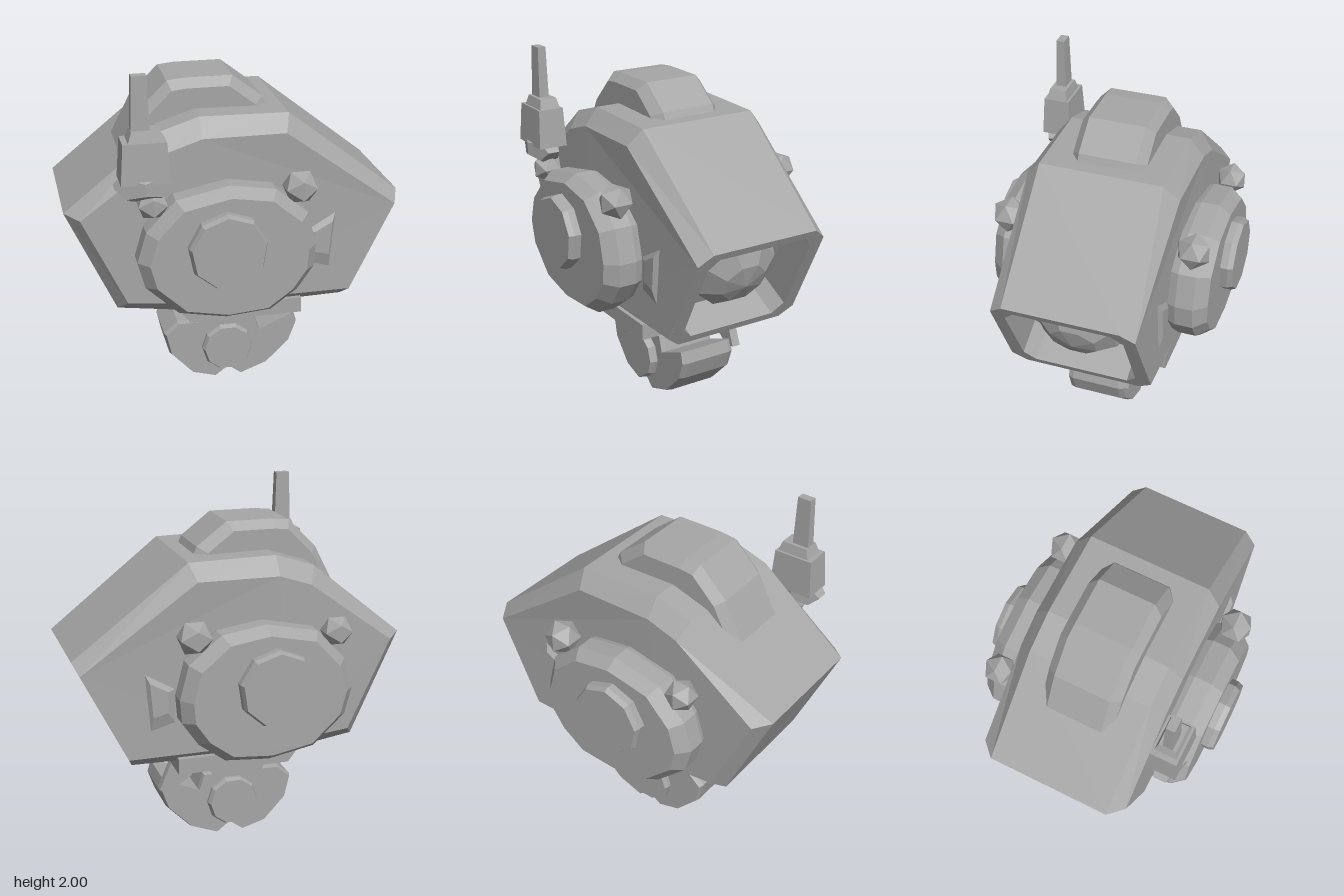
import * as THREE from 'three';

const metal = new THREE.MeshStandardMaterial({ color: 0xa6a6a6, flatShading: true, side: THREE.DoubleSide });
metal.name = 'grey metal';

// Joins rings of [x, y, z] (counter-clockwise, ascending z); openEdge is left unfilled.
function loft(rings, { caps = true, openEdge = -1 } = {}) {
  const n = rings[0].length, index = [];
  for (let r = 0; r < rings.length - 1; r++) {
    for (let i = 0; i < n; i++) {
      if (i === openEdge) continue;
      const a = r * n + i, b = r * n + (i + 1) % n;
      index.push(a, b, b + n, a, b + n, a + n);
    }
  }
  if (caps) {
    const last = (rings.length - 1) * n;
    const flat = (ring) => ring.map(([x, y]) => new THREE.Vector2(x, y));
    for (const [a, b, c] of THREE.ShapeUtils.triangulateShape(flat(rings[0]), [])) index.push(a, c, b);
    for (const [a, b, c] of THREE.ShapeUtils.triangulateShape(flat(rings[rings.length - 1]), [])) {
      index.push(last + a, last + b, last + c);
    }
  }
  const g = new THREE.BufferGeometry();
  g.setAttribute('position', new THREE.Float32BufferAttribute(rings.flat(2), 3));
  g.setIndex(index);
  const out = g.toNonIndexed();
  out.computeVertexNormals();
  return out;
}

// Bevelled slab: outline scaled about a centre at each [z, scale] layer; side -1 mirrors it in z.
function slab(outline, [cx, cy], layers, side = 1) {
  const order = side > 0 ? layers : [...layers].reverse();
  return loft(order.map(([z, s]) => outline.map(([x, y]) => [cx + (x - cx) * s, cy + (y - cy) * s, z * side])));
}

function disc(cx, cy, r, n, turn = 0) {
  return Array.from({ length: n }, (_, i) => {
    const a = turn + i / n * Math.PI * 2;
    return [cx + r * Math.cos(a), cy + r * Math.sin(a)];
  });
}

// Four-sided block narrowing from bottom size to top size.
function taperedBox(w, h, d, top) {
  const g = new THREE.CylinderGeometry(Math.SQRT1_2 * top, Math.SQRT1_2, 1, 4).rotateY(Math.PI / 4);
  return g.scale(w, h, d);
}

export function createModel() {
  const model = new THREE.Group();
  model.name = 'robotHead';
  const add = (name, geometry, x = 0, y = 0, z = 0, parent = model) => {
    const m = new THREE.Mesh(geometry, metal);
    m.name = name;
    m.position.set(x, y, z);
    parent.add(m);
    return m;
  };

  // Head shell, open at the slanted eye face and narrowing slightly towards it
  const rim = [[0.93, 1.19], [0.29, 1.69], [-0.2, 1.7], [-0.42, 1.63], [-0.94, 1.21], [-0.67, 0.62], [-0.27, 0.56], [0.62, 0.57]];
  const panel = [[0.9, 1.13], [0.26, 1.6], [-0.2, 1.6], [-0.38, 1.54], [-0.86, 1.19], [-0.62, 0.68], [-0.25, 0.64], [0.65, 0.63]];
  const taper = (x) => 1 - 0.07 * THREE.MathUtils.clamp((x - 0.25) / 0.68, 0, 1);
  const layer = (pts, z) => pts.map(([x, y]) => [x, y, z * taper(x)]);
  add('headShell', loft([layer(panel, -0.43), layer(rim, -0.35), layer(rim, 0.35), layer(panel, 0.43)], { openEdge: 7 }));

  // Eye face: frame, recess walls, back plate and faceted lens
  const eye = new THREE.Group();
  eye.name = 'eye';
  eye.applyMatrix4(new THREE.Matrix4().makeBasis(
    new THREE.Vector3(0, 0, -1), new THREE.Vector3(0.447, 0.894, 0), new THREE.Vector3(0.894, -0.447, 0),
  ).setPosition(0.775, 0.88, 0));
  model.add(eye);
  const mirrored = (pts) => [...pts, ...pts.map(([x, y]) => [-x, y]).reverse()];
  const toVectors = (pts) => pts.map(([x, y]) => new THREE.Vector2(x, y));
  const hole = mirrored([[0.27, -0.3], [0.33, -0.23], [0.33, 0.23], [0.27, 0.3]]);
  const frame = new THREE.Shape(toVectors(mirrored([[0.337, -0.347], [0.412, -0.28], [0.401, 0.28], [0.325, 0.347]])));
  frame.holes.push(new THREE.Path(toVectors(hole)));
  add('eyeFrame', new THREE.ShapeGeometry(frame), 0, 0, 0, eye);
  const inward = [...hole].reverse();
  add('eyeRecess', loft([-0.2, 0].map((z) => inward.map(([x, y]) => [x, y, z])), { caps: false }), 0, 0, 0, eye);
  add('eyeBackPlate', new THREE.ShapeGeometry(new THREE.Shape(toVectors(hole))), 0, 0, -0.2, eye);
  const lens = new THREE.SphereGeometry(0.27, 8, 3, Math.PI / 8, Math.PI * 2, 0, Math.PI / 2);
  add('eyeLens', lens.rotateX(Math.PI / 2).scale(1, 1, 0.7), 0, 0, -0.2, eye);

  // Crest on top
  add('crest', slab(
    [[0.25, 1.6], [0.19, 1.73], [0.02, 1.86], [-0.25, 1.86], [-0.34, 1.85], [-0.5, 1.69], [-0.63, 1.44]],
    [-0.2, 1.5], [[-0.21, 0.87], [-0.16, 1], [0.16, 1], [0.21, 0.87]]));

  // Ear discs, hubs, knobs, cheek wedges and lower rails on both sides
  const ear = [[0.4, 1], [0.35, 1.19], [0.17, 1.34], [-0.08, 1.38], [-0.37, 1.32], [-0.53, 1.15], [-0.58, 0.98],
    [-0.54, 0.83], [-0.36, 0.66], [-0.1, 0.61], [0.15, 0.63], [0.3, 0.74], [0.39, 0.87]];
  for (const side of [1, -1]) {
    add('earDisc', slab(ear, [-0.09, 0.99], [[0.41, 0.96], [0.46, 1], [0.56, 1], [0.63, 0.88]], side));
    add('earHub', slab(disc(-0.11, 1.05, 0.215, 9, 0.2), [-0.11, 1.05], [[0.6, 1], [0.67, 1], [0.7, 0.94]], side));
    add('frontKnob', new THREE.IcosahedronGeometry(0.1, 0), 0.31, 1.33, 0.53 * side);
    add('rearKnob', new THREE.IcosahedronGeometry(0.09, 0), -0.49, 1.3, 0.53 * side);
    add('cheekWedge', slab([[0.56, 1.13], [0.36, 1.02], [0.36, 0.78], [0.53, 0.74]], [0.5, 1.0],
      [[0.4, 1], [0.435, 0.5]], side));
    add('lowerRail', slab([[0.37, 0.51], [0.37, 0.6], [-0.34, 0.6], [-0.27, 0.51]], [0.05, 0.6],
      [[0.22, 1], [0.41, 1]], side));
  }

  // Antenna
  add('antennaClamp', new THREE.DodecahedronGeometry(0.1, 0).scale(1.65, 0.95, 0.95), -0.535, 1.415, 0.54);
  add('antennaBase', taperedBox(0.26, 0.22, 0.17, 0.88), -0.53, 1.55, 0.53);
  add('antennaCollar', taperedBox(0.2, 0.07, 0.13, 0.75), -0.52, 1.68, 0.53);
  add('antennaMast', taperedBox(0.1, 0.34, 0.06, 0.8), -0.545, 1.83, 0.53);

  // Neck, strut and lower joint
  add('neck', slab([[-0.27, 0.57], [-0.17, 0.37], [0.1, 0.37], [0.23, 0.57]], [0, 0.57],
    [[-0.21, 1], [0.21, 1]]));
  add('neckStrut', slab([[0.22, 0.53], [0.24, 0.41], [0.36, 0.33], [0.43, 0.34], [0.35, 0.53]], [0.3, 0.45],
    [[-0.21, 1], [-0.16, 1]]));
  add('lowerJoint', slab(
    [[0.42, 0.31], [0.4, 0.38], [0.19, 0.29], [0.16, 0.385], [-0.3, 0.38], [-0.38, 0.31], [-0.35, 0.18], [-0.22, 0.04],
      [-0.08, 0.0], [0, 0.06], [0.08, 0.0], [0.24, 0.06], [0.38, 0.2]],
    [0, 0.2], [[-0.17, 0.97], [-0.14, 1], [0.14, 1], [0.17, 0.97]]));
  add('jointHub', slab(disc(-0.01, 0.21, 0.15, 10), [-0.01, 0.21],
    [[-0.215, 0.92], [-0.19, 1], [0.19, 1], [0.215, 0.92]]));

  return model;
}
